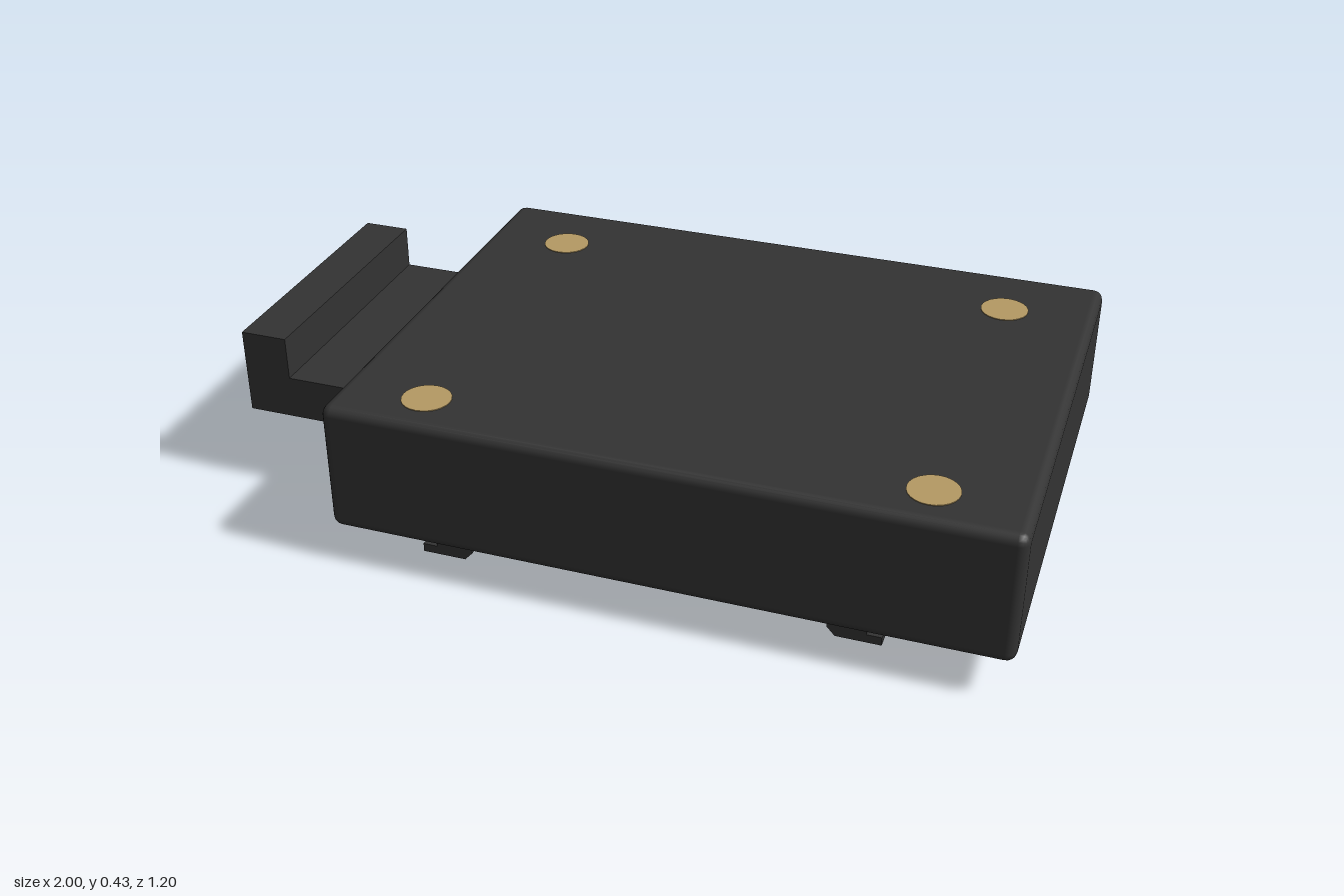
import * as THREE from 'three';
import { RoundedBoxGeometry } from 'three/addons/geometries/RoundedBoxGeometry.js';

export function createModel() {
  const group = new THREE.Group();
  const dark = new THREE.MeshStandardMaterial({ color: 0x333333 });
  dark.name = 'dark plastic';
  const brass = new THREE.MeshStandardMaterial({ color: 0xb59a64 });
  brass.name = 'brass';

  const add = (name, geometry, material, x = 0, y = 0, z = 0) => {
    const mesh = new THREE.Mesh(geometry, material);
    mesh.name = name;
    mesh.position.set(x, y, z);
    group.add(mesh);
    return mesh;
  };

  // Side profile in x/y, swept straight along z
  const sweep = (points, depth) => new THREE.ExtrudeGeometry(
    new THREE.Shape(points.map(([x, y]) => new THREE.Vector2(x, y))),
    { depth, bevelEnabled: false });

  // Main block with softened edges
  add('body', new RoundedBoxGeometry(1.645, 0.333, 1.204, 2, 0.025), dark, 0.1775, 0.2635, 0);

  // Stepped hook on the right side
  add('hook', sweep([[-1, 0.21], [-0.63, 0.21], [-0.63, 0.32], [-0.88, 0.32], [-0.88, 0.43], [-1, 0.43]], 0.68),
    dark, 0, 0, -0.343);

  // Rails underneath, with their thin feet pointing outward
  for (const [name, x, out] of [['rightRail', -0.325, -1], ['leftRail', 0.56, 1]]) {
    const profile = [[0, 0.11], [0, 0.022], [0.02, 0], [0.13, 0], [0.13, 0.022], [0.093, 0.022], [0.093, 0.11]];
    add(name, sweep(profile.map(([px, py]) => [px * out, py]), 1), dark, x, 0, -0.5);
  }

  // Four round contacts on top
  for (const x of [-0.424, 0.774]) {
    for (const z of [-0.4, 0.484]) {
      add('contact', new THREE.CylinderGeometry(0.06, 0.06, 0.006, 24), brass, x, 0.429, z);
    }
  }
  return group;
}
